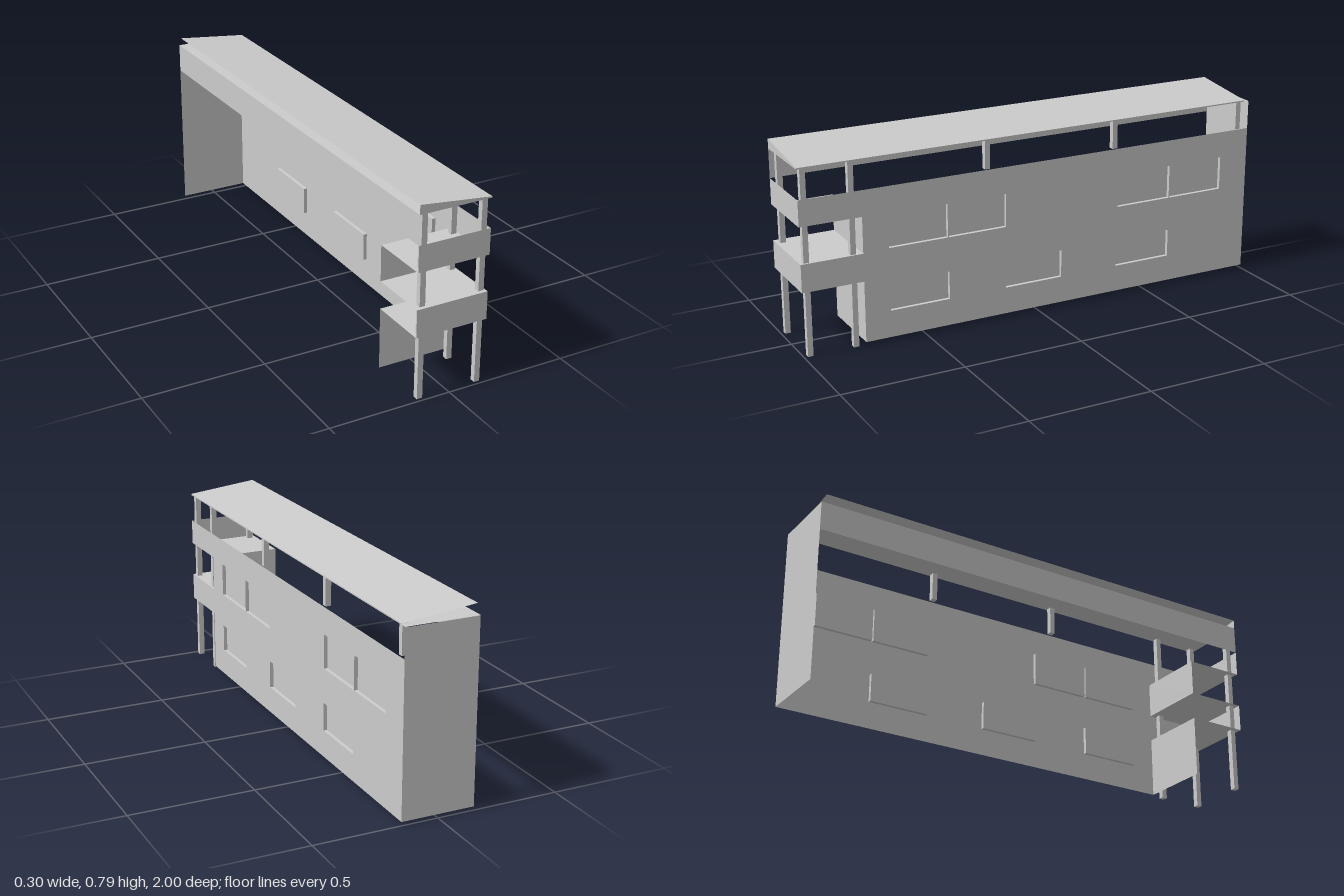
import * as THREE from 'three';

const X = 0.149, BASE = 0.015, CEIL = 0.748, EAVE = 0.753, RIDGE = 0.786;
const BAND1 = [0.265, 0.378], BAND2 = [0.525, 0.63];
const FACADE_Z = 0.75, ROOF_BACK = -0.98, RECESS = 0.015;

export function createModel() {
  const group = new THREE.Group();
  const material = new THREE.MeshStandardMaterial({ color: 0xcccccc, flatShading: true, side: THREE.DoubleSide });

  function add(name, geometry, parent = group) {
    const mesh = new THREE.Mesh(geometry, material);
    mesh.name = name;
    parent.add(mesh);
    return mesh;
  }

  // flat four-cornered sheet
  function quad(name, a, b, c, d, parent) {
    const g = new THREE.BufferGeometry();
    g.setAttribute('position', new THREE.Float32BufferAttribute([...a, ...b, ...c, ...d], 3));
    g.setIndex([0, 1, 2, 0, 2, 3]);
    g.computeVertexNormals();
    return add(name, g, parent);
  }
  const across = (name, z, y0, y1) => quad(name, [-X, y0, z], [X, y0, z], [X, y1, z], [-X, y1, z]);
  const along = (name, x, z0, z1, y0, y1, parent) =>
    quad(name, [x, y0, z1], [x, y0, z0], [x, y1, z0], [x, y1, z1], parent);
  const floor = (name, y, z0, z1) => quad(name, [-X, y, z1], [X, y, z1], [X, y, z0], [-X, y, z0]);

  // windows as [front z, back z, bottom y, top y]
  const windows = [];
  for (const z of [0.645, 0.145, -0.365]) windows.push([z, z - 0.252, 0.125, 0.24]);
  for (const z of [0.645, 0.392, -0.368, -0.621]) windows.push([z, z - 0.248, 0.382, 0.52]);

  // long side wall with balcony bands, drawn in (-z, y)
  const outline = [
    [-FACADE_Z, BASE], [1, BASE], [1, BAND2[1]], [-1, BAND2[1]], [-1, BAND2[0]], [-FACADE_Z, BAND2[0]],
    [-FACADE_Z, BAND1[1]], [-1, BAND1[1]], [-1, BAND1[0]], [-FACADE_Z, BAND1[0]],
  ];
  const wall = new THREE.Shape(outline.map(([u, v]) => new THREE.Vector2(u, v)));
  for (const [zf, zb, y0, y1] of windows) {
    wall.holes.push(new THREE.Path([[-zf, y0], [-zf, y1], [-zb, y1], [-zb, y0]].map(([u, v]) => new THREE.Vector2(u, v))));
  }
  add('sideWall', new THREE.ShapeGeometry(wall).rotateY(Math.PI / 2).translate(X, 0, 0));

  // recessed panes with their reveals
  const inX = X - RECESS;
  for (const [zf, zb, y0, y1] of windows) {
    const win = new THREE.Group();
    win.name = 'window';
    group.add(win);
    along('windowPane', inX, zb, zf, y0, y1, win);
    for (const y of [y0, y1]) quad('windowReveal', [inX, y, zf], [X, y, zf], [X, y, zb], [inX, y, zb], win);
    for (const z of [zf, zb]) quad('windowReveal', [inX, y0, z], [X, y0, z], [X, y1, z], [inX, y1, z], win);
  }

  // end walls and facade behind the balconies
  across('backWall', -1, BASE, CEIL - 0.002);
  across('lowerFacade', FACADE_Z, BASE, BAND1[0]);
  across('upperFacade', FACADE_Z, BAND1[1], BAND2[0]);

  // balcony fronts and floors
  across('lowerBalconyFront', 1, ...BAND1);
  across('upperBalconyFront', 1, ...BAND2);
  for (const y of [BAND1[0], BAND1[1], BAND2[0]]) floor('balconyFloor', y, FACADE_Z, 1);

  // upper band on the open side
  along('openSideBand', -X, -1, 1, BAND2[1], CEIL);

  // ceiling, sloping roof and its closed front gable
  floor('ceiling', CEIL, -1, 1);
  quad('roof', [-X, RIDGE, 1], [X, EAVE, 1], [X, EAVE, ROOF_BACK], [-X, RIDGE, ROOF_BACK]);
  quad('frontGable', [-X, CEIL, 1], [X, CEIL, 1], [X, EAVE, 1], [-X, RIDGE, 1]);
  along('eaveEdge', X, ROOF_BACK, 1, CEIL, EAVE);

  // columns as [x, z, foot y]
  const columns = [
    [-0.118, 0.974, 0], [0.13, 0.974, 0], [0.13, 0.787, 0],
    [0.13, 0.22, BAND2[1]], [0.13, -0.355, BAND2[1]], [0.13, -0.955, BAND2[1]],
  ];
  for (const [x, z, y0] of columns) {
    const h = CEIL + 0.001 - y0;
    add('column', new THREE.BoxGeometry(0.023, h, 0.022)).position.set(x, y0 + h / 2, z);
  }
  return group;
}
